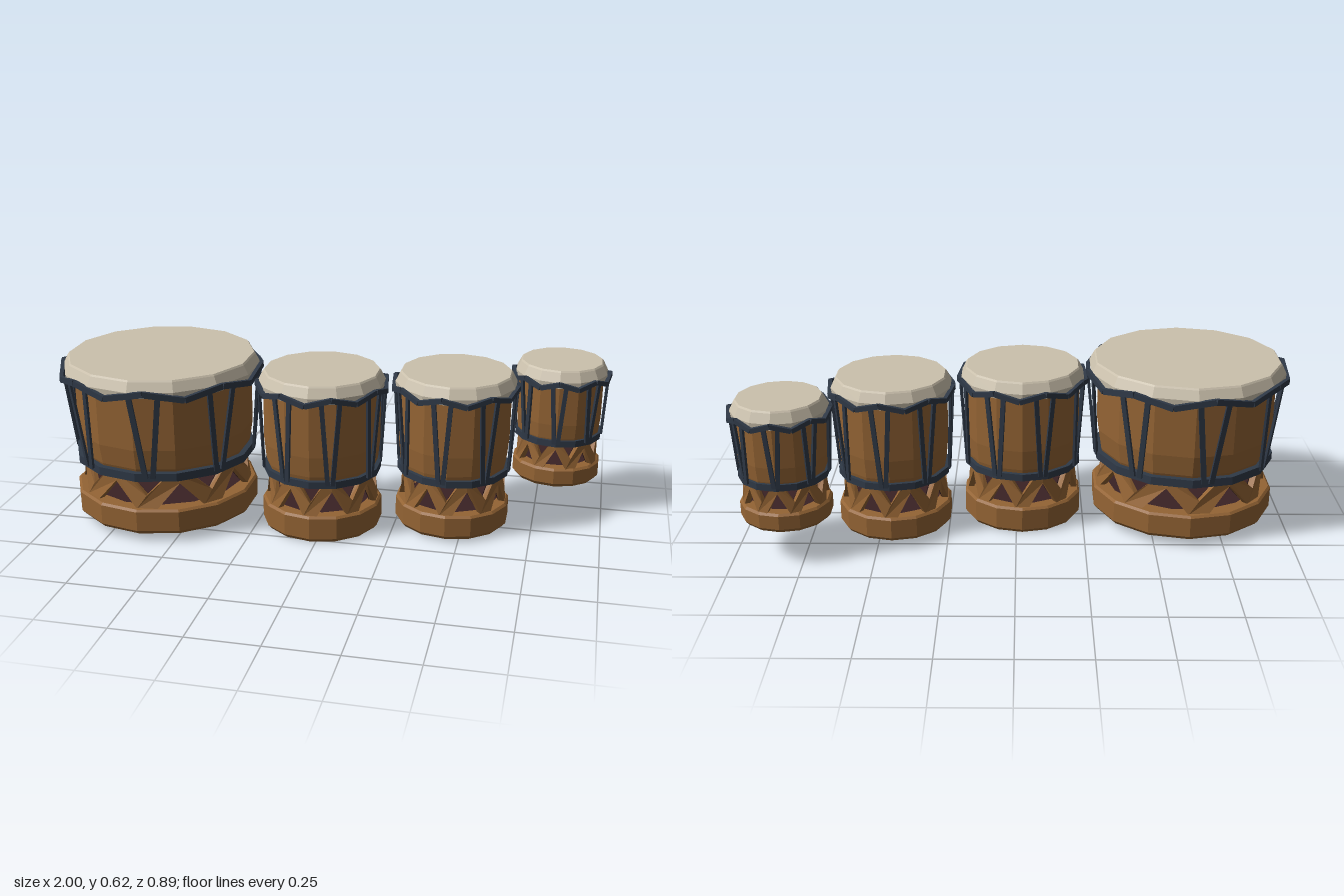
import * as THREE from 'three';

const SIDES = 14, TIES = 8;

const mat = (name, color, opts = {}) =>
  Object.assign(new THREE.MeshStandardMaterial({ color, flatShading: true, ...opts }), { name });

function add(parent, name, geometry, material) {
  const m = new THREE.Mesh(geometry, material);
  m.name = name;
  parent.add(m);
  return m;
}

const lathe = (pts) => new THREE.LatheGeometry(pts.map(([r, y]) => new THREE.Vector2(r, y)), SIDES);
const polar = (r, a, y) => new THREE.Vector3(r * Math.sin(a), y, r * Math.cos(a));

// Flat strap between two points, with its thin side facing away from the drum axis
function strap(parent, name, p, q, width, thick, material) {
  const along = q.clone().sub(p), mid = p.clone().add(q).multiplyScalar(0.5);
  const dir = along.clone().normalize();
  const side = dir.clone().cross(new THREE.Vector3(mid.x, 0, mid.z).normalize()).normalize();
  const out = side.clone().cross(dir);
  const m = add(parent, name, new THREE.BoxGeometry(width, along.length(), thick), material);
  m.quaternion.setFromRotationMatrix(new THREE.Matrix4().makeBasis(side, dir, out));
  m.position.copy(mid);
}

// Y-shaped strut in unrolled coordinates: u across one period, v up
function strutShape() {
  return new THREE.Shape([[-0.3, 0], [0.3, 0], [1, 0.78], [1, 1], [0.62, 1], [0, 0.42],
    [-0.62, 1], [-1, 1], [-1, 0.78]].map(([u, v]) => new THREE.Vector2(u, v)));
}

// Wrap an unrolled strut around the drum axis
function wrap(geometry, angle, rBottom, rTop, y0, y1) {
  const p = geometry.attributes.position;
  for (let i = 0; i < p.count; i++) {
    const v = p.getY(i);
    const r = THREE.MathUtils.lerp(rBottom, rTop, v) + p.getZ(i);
    const c = polar(r, angle + p.getX(i) * Math.PI / TIES, THREE.MathUtils.lerp(y0, y1, v));
    p.setXYZ(i, c.x, c.y, c.z);
  }
  geometry.computeVertexNormals();
  return geometry;
}

function makeDrum(d, M) {
  const g = new THREE.Group();
  g.name = d.name;
  g.position.set(d.x, 0, d.z);
  const { R, base: b, y0, y1, y2, top } = d;
  const body = b * 0.965, foot = b * 0.93, waist = b * 0.88;
  const s = 0.6 + R * 1.1;              // strap scale
  const ringY = top - 0.053, bandH = 0.03 * s;

  // Foot ring with chamfered edges, dark floor on top
  add(g, 'base', lathe([[0, y0], [b - 0.012, y0], [b, y0 + 0.014], [b, y1 - 0.008],
    [b - 0.008, y1], [0, y1]]), M.wood);
  const floor = add(g, 'innerFloor', new THREE.CircleGeometry(foot - 0.03, SIDES), M.inside);
  floor.rotation.x = -Math.PI / 2;
  floor.position.y = y1 + 0.002;

  // Open lattice between foot and shell, dark on the inside
  for (let i = 0; i < TIES; i++) {
    const a = d.lattice + i * 2 * Math.PI / TIES;
    add(g, 'latticeStrut', wrap(new THREE.ExtrudeGeometry(strutShape(),
      { depth: 0.022, bevelEnabled: false }), a, foot - 0.02, waist - 0.02, y1 - 0.003, y2 + 0.005), M.wood);
    add(g, 'latticeLining', wrap(new THREE.ShapeGeometry(strutShape()),
      a, foot - 0.024, waist - 0.024, y1, y2), M.inside);
  }

  // Shell and its dark underside
  const h = ringY - y2;
  add(g, 'shell', lathe([[waist - 0.025, y2 - 0.005], [waist, y2 - 0.005], [body * 0.965, y2 + h * 0.12],
    [body, y2 + h * 0.35], [body, ringY]]), M.wood);
  add(g, 'shellLining', lathe([[0, ringY - 0.01], [body - 0.03, ringY - 0.02],
    [waist - 0.025, y2 - 0.005]]), M.inside);

  // Drum head
  const inset = R - 0.032;
  add(g, 'drumHead', lathe([[body - 0.005, ringY - 0.012], [R - 0.012, ringY - 0.008],
    [R - 0.01, ringY + 0.014], [inset + 0.005, top - 0.006], [inset, top], [0, top]]), M.skin);

  // Lower band
  add(g, 'lowerBand', lathe([[waist, y2], [b * 0.985, y2], [b * 0.985, y2 + bandH],
    [body * 0.94, y2 + bandH]]), M.rope);

  // Zigzag rim rope and paired tension straps
  const step = Math.PI / TIES, amp = 0.013 * s, rr = R - 0.003;
  for (let i = 0; i < TIES; i++) {
    const a = d.phase + i * 2 * step;
    const peak = polar(rr, a, ringY + amp);
    for (const k of [-1, 1]) {
      strap(g, 'rimRope', peak, polar(rr, a + k * step, ringY - amp), 0.021 * s, 0.014, M.rope);
      strap(g, 'tensionStrap', polar(R - 0.008, a + k * 0.14, ringY),
        polar(b * 0.98, a + k * 0.04, y2 + bandH * 0.5), 0.019 * s, 0.009, M.rope);
    }
  }
  return g;
}

export function createModel() {
  const M = {
    wood: mat('wood', 0x946434),
    skin: mat('skin', 0xcbc1ad),
    rope: mat('rope', 0x2f3947),
    inside: mat('darkInside', 0x3a2224, { side: THREE.DoubleSide }),
  };
  const drums = [
    { name: 'largeDrum', x: -0.625, z: 0.065, R: 0.372, base: 0.34, y0: 0.03, y1: 0.125, y2: 0.235, top: 0.615, phase: 0.16, lattice: 0.1 },
    { name: 'mediumDrum', x: -0.022, z: 0.056, R: 0.24, base: 0.221, y0: 0, y1: 0.1, y2: 0.21, top: 0.59, phase: 0.35, lattice: 0 },
    { name: 'mediumSmallDrum', x: 0.452, z: -0.042, R: 0.23, base: 0.21, y0: 0.008, y1: 0.1, y2: 0.21, top: 0.585, phase: -0.1, lattice: 0 },
    { name: 'smallDrum', x: 0.817, z: -0.268, R: 0.18, base: 0.163, y0: 0.133, y1: 0.205, y2: 0.292, top: 0.582, phase: 0, lattice: 0.39 },
  ];
  const model = new THREE.Group();
  model.name = 'drumSet';
  for (const d of drums) model.add(makeDrum(d, M));
  return model;
}
